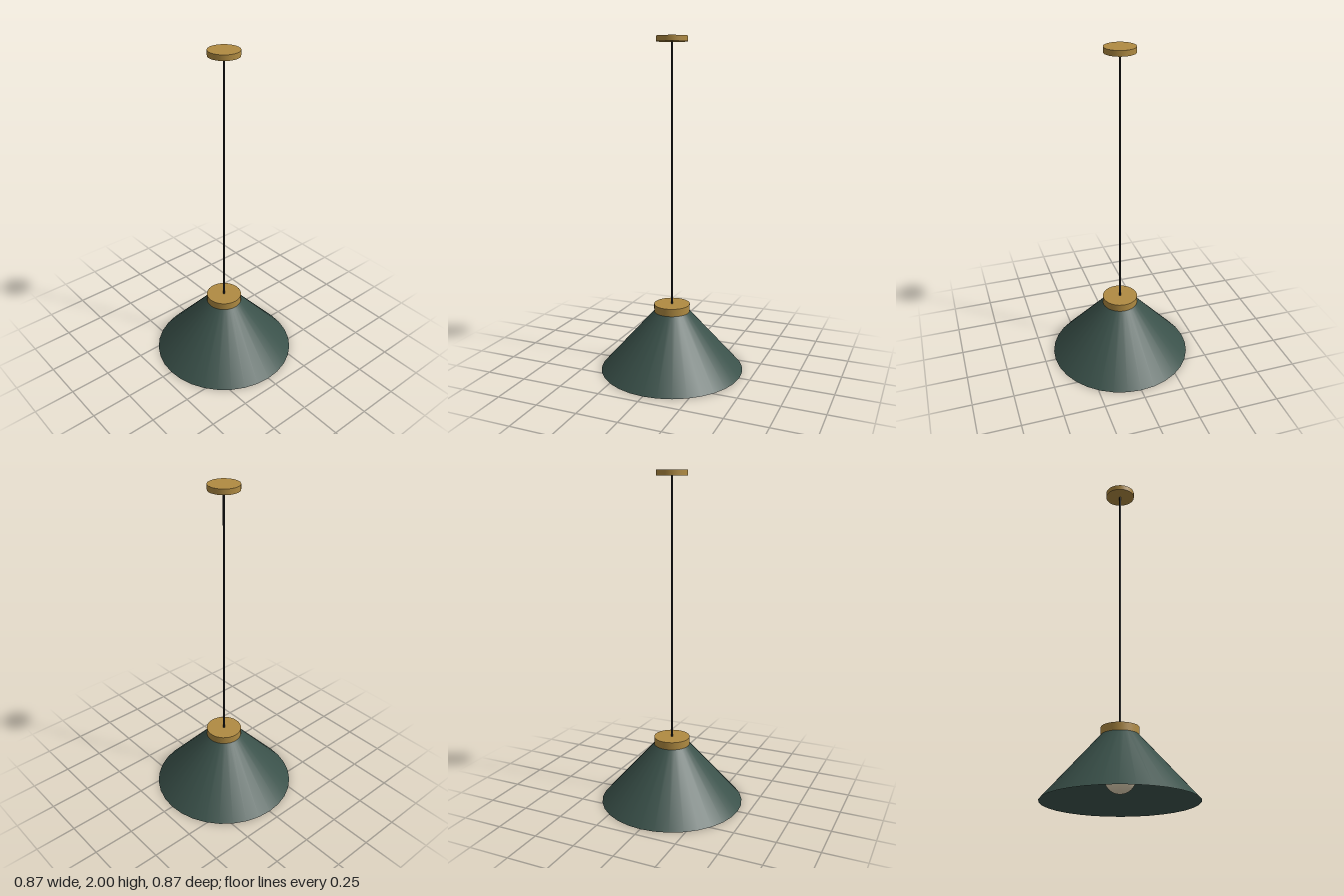
import * as THREE from 'three';

const SEGMENTS = 32;

function material(name, color, side = THREE.FrontSide) {
  const m = new THREE.MeshStandardMaterial({ color, side });
  m.name = name;
  return m;
}

export function createModel() {
  const brass = material('brass', 0xb08b42);
  const green = material('deep green', 0x3a514a, THREE.DoubleSide);
  const black = material('black', 0x1a1a1a);
  const cream = material('warm cream', 0xeedfc0);

  const lamp = new THREE.Group();
  lamp.name = 'pendantLamp';

  const add = (name, geometry, mat, y = 0) => {
    const mesh = new THREE.Mesh(geometry, mat);
    mesh.name = name;
    mesh.position.y = y;
    lamp.add(mesh);
  };

  // Upright round part between two heights
  const addRound = (name, mat, radiusTop, radiusBottom, y0, y1, open = false) =>
    add(name, new THREE.CylinderGeometry(radiusTop, radiusBottom, y1 - y0, SEGMENTS, 1, open), mat, (y0 + y1) / 2);

  // Ceiling mount and cord
  addRound('ceilingCanopy', brass, 0.09, 0.09, 1.968, 2);
  addRound('cord', black, 0.0065, 0.0065, 0.4, 1.97);

  // Open conical shade with its collar
  addRound('shadeCollar', brass, 0.1085, 0.1085, 0.365, 0.412);
  addRound('shade', green, 0.1085, 0.435, 0, 0.366, true);

  // Bulb on a slim holder
  addRound('bulbHolder', black, 0.025, 0.025, 0.2, 0.366);
  add('bulb', new THREE.SphereGeometry(0.088, SEGMENTS, 20), cream, 0.131);

  return lamp;
}
